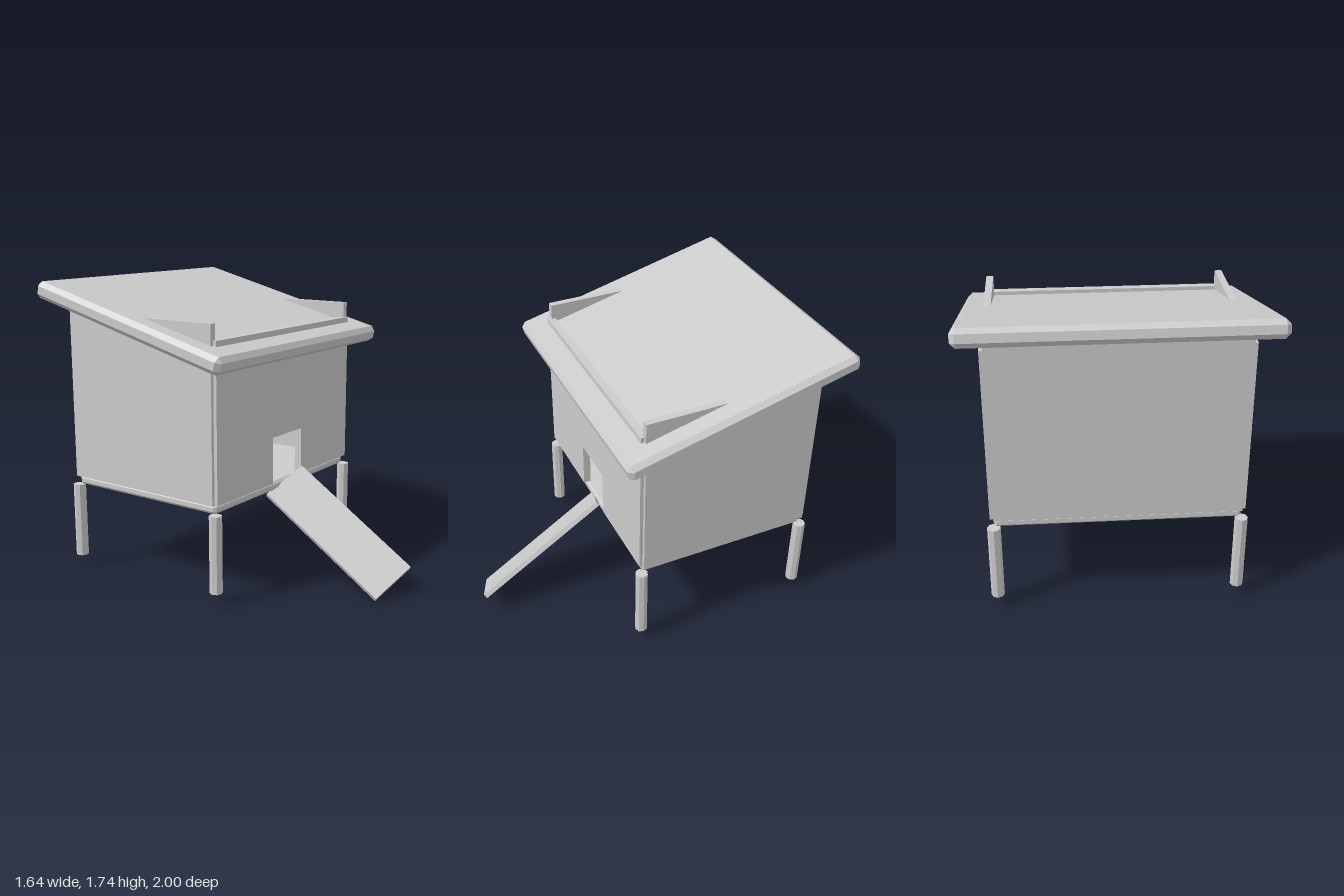
import * as THREE from 'three';
import { ConvexGeometry } from 'three/addons/geometries/ConvexGeometry.js';

const material = new THREE.MeshStandardMaterial({ color: 0xcccccc, flatShading: true });

// Box with all its edges and corners cut at 45 degrees
function chamferedBox(w, h, d, c) {
  const half = [w / 2, h / 2, d / 2];
  const points = [];
  for (const sx of [-1, 1]) for (const sy of [-1, 1]) for (const sz of [-1, 1]) {
    for (let outer = 0; outer < 3; outer++) {
      const [x, y, z] = half.map((v, i) => (i === outer ? v : v - c));
      points.push(new THREE.Vector3(sx * x, sy * y, sz * z));
    }
  }
  return new ConvexGeometry(points);
}

export function createModel() {
  const model = new THREE.Group();
  model.name = 'henHouse';

  const add = (name, geometry, x, y, z) => {
    const mesh = new THREE.Mesh(geometry, material);
    mesh.name = name;
    mesh.position.set(x, y, z);
    model.add(mesh);
    return mesh;
  };

  // Sloping roof slab
  const roof = add('roof', chamferedBox(1.64, 0.1, 1.38, 0.027), 0, 1.533, -0.325);
  roof.rotation.x = 0.247;

  // Floor slab
  add('floor', chamferedBox(1.345, 0.055, 1.045, 0.015), 0, 0.547, -0.322);

  // Front wall with a doorway notched out of its lower edge
  const front = new THREE.Shape();
  [[-0.675, 0.575], [-0.15, 0.575], [-0.15, 0.855], [0.15, 0.855], [0.15, 0.575],
    [0.675, 0.575], [0.675, 1.48], [-0.675, 1.48]]
    .forEach(([x, y], i) => (i ? front.lineTo(x, y) : front.moveTo(x, y)));
  add('frontWall', new THREE.ExtrudeGeometry(front, { depth: 0.045, bevelEnabled: false }), 0, 0, 0.175);

  // Back wall
  add('backWall', new THREE.BoxGeometry(1.35, 1.055, 0.04), 0, 1.1025, -0.845);

  // Side walls, their front corners rising through the roof, and the legs
  for (const [side, s] of [['left', 1], ['right', -1]]) {
    add(side + 'Wall', new THREE.BoxGeometry(0.04, 0.995, 1.045), s * 0.675, 1.0725, -0.3225);
    for (const [end, z] of [['Front', 0.205], ['Back', -0.845]]) {
      add(side + end + 'Leg', new THREE.CylinderGeometry(0.037, 0.037, 0.45, 8), s * 0.675, 0.295, z);
    }
  }

  // Entrance ramp, leaning down to the ground and rolled onto one edge
  const ramp = add('ramp', new THREE.BoxGeometry(0.295, 0.03, 0.89), -0.002, 0.317, 0.576);
  ramp.rotation.set(0.569, 0, 0.557);

  return model;
}
